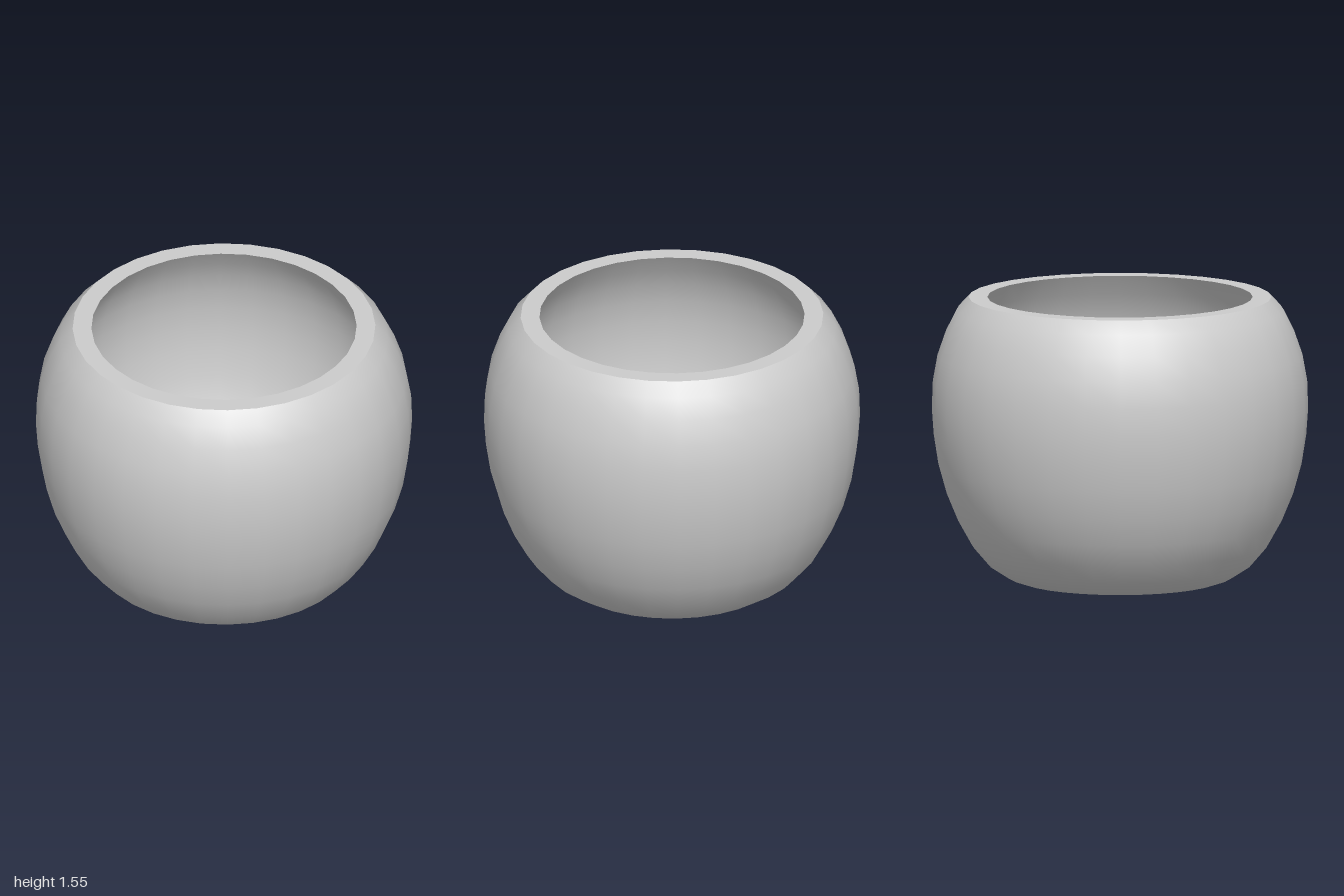
import * as THREE from 'three';

const SEGMENTS = 32;

// Profiles as [radius, height]; bottom-up faces outward, top-down faces inward
const outer = [
  [0, 0], [0.4, 0.01], [0.54, 0.03], [0.6, 0.05], [0.7, 0.115], [0.79, 0.22],
  [0.86, 0.345], [0.92, 0.49], [0.965, 0.65], [0.99, 0.81], [1, 0.95],
  [0.995, 1.1], [0.97, 1.24], [0.925, 1.37], [0.87, 1.48], [0.805, 1.55],
];
const rim = [[0.805, 1.55], [0.705, 1.55]];
const inner = [
  [0.705, 1.55], [0.78, 1.44], [0.835, 1.33], [0.875, 1.21], [0.895, 1.08],
  [0.9, 0.95], [0.89, 0.82], [0.865, 0.67], [0.825, 0.53], [0.77, 0.4],
  [0.71, 0.29], [0.64, 0.2], [0.56, 0.145], [0.5, 0.125], [0.38, 0.11], [0, 0.1],
];

export function createModel() {
  const group = new THREE.Group();
  group.name = 'roundBowl';
  const material = new THREE.MeshStandardMaterial({ color: 0xcccccc });

  // Separate lathes keep the two rim edges sharp
  const addLathe = (name, profile) => {
    const points = profile.map(([r, y]) => new THREE.Vector2(r, y));
    const mesh = new THREE.Mesh(new THREE.LatheGeometry(points, SEGMENTS), material);
    mesh.name = name;
    group.add(mesh);
  };

  addLathe('outerWall', outer);
  addLathe('rim', rim);
  addLathe('innerWall', inner);
  return group;
}
